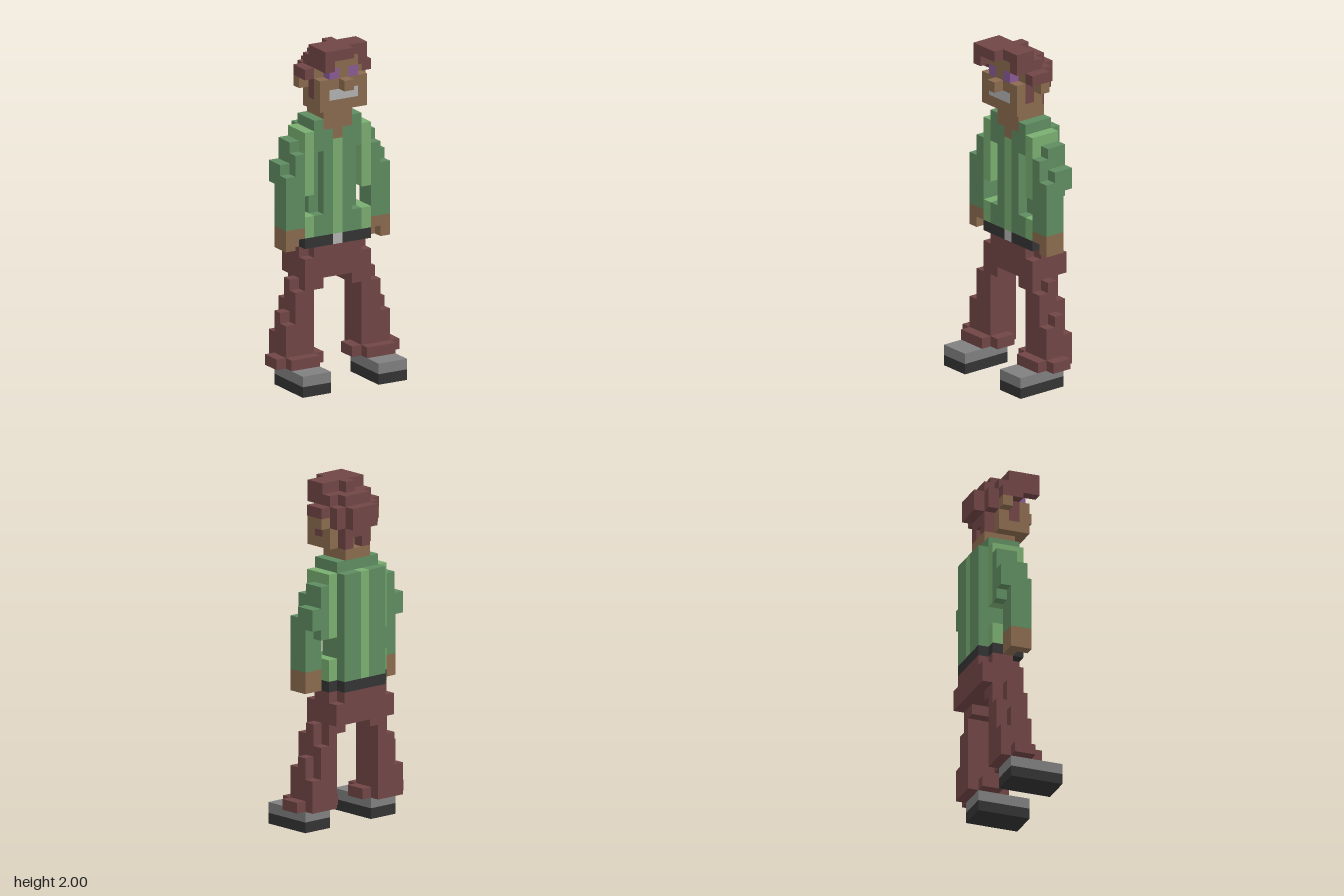
import * as THREE from 'three';

const U = 1 / 16; // edge of one cube
const material = (color) => new THREE.MeshStandardMaterial({ color, flatShading: true });

export function createModel() {
  const model = new THREE.Group();
  model.name = 'blockMan';
  const trousers = material(0x714646), hair = material(0x714646), skin = material(0x8b6b4f);
  const shirt = material(0x5f8c60), stripe = material(0x7aae70), black = material(0x343434);
  const grey = material(0x808080), pale = material(0xb2b2b2), purple = material(0x8a5a96);

  // Block spanning whole cubes, first and last index included; y counts up from the ground
  const block = (name, mat, [x0, x1], [y0, y1], [z0, z1]) => {
    const g = new THREE.BoxGeometry((x1 - x0 + 1) * U, (y1 - y0 + 1) * U, (z1 - z0 + 1) * U);
    const m = new THREE.Mesh(g, mat);
    m.name = name;
    m.position.set((x0 + x1) / 2 * U, (y0 + y1 + 1) / 2 * U, (z0 + z1) / 2 * U);
    model.add(m);
  };
  // Same block on the left and right sides
  const pair = (name, mat, [x0, x1], y, z) => {
    block(name + 'Left', mat, [x0, x1], y, z);
    block(name + 'Right', mat, [-x1, -x0], y, z);
  };

  // Shoes
  pair('sole', black, [3, 5], [0, 0], [-1, 3]);
  pair('shoe', grey, [3, 5], [1, 1], [-1, 3]);

  // Trouser cuffs
  pair('cuff', trousers, [3, 5], [2, 2], [-2, 1]);
  pair('cuffSide', trousers, [2, 6], [2, 2], [-1, 0]);

  // Legs: columns stepping inward, each with its own height by depth
  pair('shinFront', trousers, [5, 5], [3, 5], [0, 0]);
  pair('shinMiddle', trousers, [5, 5], [3, 6], [-1, -1]);
  pair('shinBack', trousers, [5, 5], [3, 4], [-2, -2]);
  pair('legFront', trousers, [4, 4], [3, 8], [0, 0]);
  pair('legMiddle', trousers, [4, 4], [3, 9], [-1, -1]);
  pair('legBack', trousers, [4, 4], [3, 7], [-2, -2]);
  pair('innerLeg', trousers, [3, 3], [3, 9], [-2, 0]);
  pair('crotchStep', trousers, [2, 2], [9, 9], [-2, 0]);

  // Hips and belt
  block('hips', trousers, [-2, 2], [10, 12], [-3, 0]);
  pair('hipSide', trousers, [3, 3], [10, 11], [-3, 0]);
  pair('hipTop', trousers, [3, 3], [12, 12], [-2, -1]);
  block('belt', black, [-2, 2], [13, 13], [-3, -1]);
  pair('beltFront', black, [1, 2], [13, 13], [0, 0]);
  pair('beltSide', black, [3, 3], [13, 13], [-2, 0]);
  block('buckle', pale, [0, 0], [13, 13], [0, 0]);

  // Striped shirt
  block('shirtStripe', stripe, [0, 0], [14, 22], [-3, 0]);
  block('shirtStripeBack', stripe, [0, 0], [23, 23], [-3, -1]);
  pair('shirtPanel', shirt, [1, 1], [14, 23], [-3, 0]);
  pair('shirtSide', shirt, [2, 2], [14, 23], [-3, -1]);
  pair('shirtHem', shirt, [2, 2], [14, 15], [0, 0]);
  pair('shirtChest', shirt, [2, 2], [22, 23], [0, 0]);
  pair('hemSide', stripe, [3, 3], [14, 15], [-2, 0]);
  pair('shoulder', stripe, [3, 3], [18, 23], [-2, 0]);
  pair('collar', shirt, [2, 2], [24, 24], [-2, 0]);
  block('collarBack', shirt, [-1, 1], [24, 24], [-2, -2]);

  // Arms and hands
  pair('sleeveInnerFront', shirt, [4, 4], [15, 21], [0, 0]);
  pair('sleeveInnerMiddle', shirt, [4, 4], [15, 22], [-1, -1]);
  pair('sleeveInnerBack', shirt, [4, 4], [18, 22], [-2, -2]);
  pair('sleeveOuterFront', shirt, [5, 5], [15, 19], [0, 0]);
  pair('sleeveOuterMiddle', shirt, [5, 5], [15, 20], [-1, -1]);
  pair('elbow', shirt, [5, 5], [19, 20], [-2, -2]);
  pair('hand', skin, [4, 5], [14, 14], [-1, 0]);
  pair('fingers', skin, [5, 5], [13, 13], [-1, 0]);
  pair('thumb', skin, [4, 4], [13, 13], [-1, -1]);

  // Neck
  block('throat', skin, [0, 0], [23, 23], [0, 0]);
  block('neck', skin, [-1, 1], [24, 24], [-1, 0]);
  block('neckTop', skin, [-1, 1], [25, 25], [-2, 0]);

  // Head and face
  block('jaw', skin, [-2, 2], [26, 26], [-1, 1]);
  block('headCore', skin, [-1, 1], [27, 29], [-1, 0]);
  pair('cheek', skin, [2, 2], [27, 28], [1, 1]);
  block('mouth', pale, [-1, 1], [27, 27], [1, 1]);
  block('upperLip', skin, [-1, 1], [28, 28], [1, 1]);
  block('nose', skin, [0, 0], [28, 28], [2, 2]);
  block('noseBridge', skin, [0, 0], [29, 29], [1, 1]);
  pair('eye', purple, [1, 1], [29, 29], [1, 1]);
  block('forehead', skin, [-1, 1], [30, 30], [1, 1]);
  pair('temple', skin, [2, 2], [29, 29], [0, 0]);
  pair('headSide', skin, [2, 2], [27, 28], [-1, -1]);
  pair('ear', skin, [3, 3], [28, 28], [-1, -1]);

  // Hair
  pair('sideburn', hair, [2, 2], [27, 28], [0, 0]);
  pair('hairOverEar', hair, [3, 3], [29, 29], [-1, 0]);
  pair('hairSide', hair, [2, 2], [29, 29], [-1, -1]);
  pair('hairTemple', hair, [2, 2], [30, 30], [1, 1]);
  block('hairCap', hair, [-2, 2], [30, 30], [-1, 0]);
  block('hairTop', hair, [-2, 2], [31, 31], [0, 1]);
  block('hairCrown', hair, [0, 0], [31, 31], [-1, -1]);
  block('fringe', hair, [-2, 0], [31, 31], [2, 2]);
  block('fringeTip', hair, [-2, -2], [30, 30], [2, 2]);
  block('hairBackTop', hair, [-1, 1], [30, 30], [-2, -2]);
  block('hairBack', hair, [-2, 2], [28, 29], [-2, -2]);
  block('hairBackBulge', hair, [-1, 1], [28, 29], [-3, -3]);
  block('nape', hair, [-1, 1], [27, 27], [-2, -2]);
  pair('napeTip', hair, [1, 1], [26, 26], [-2, -2]);

  return model;
}
